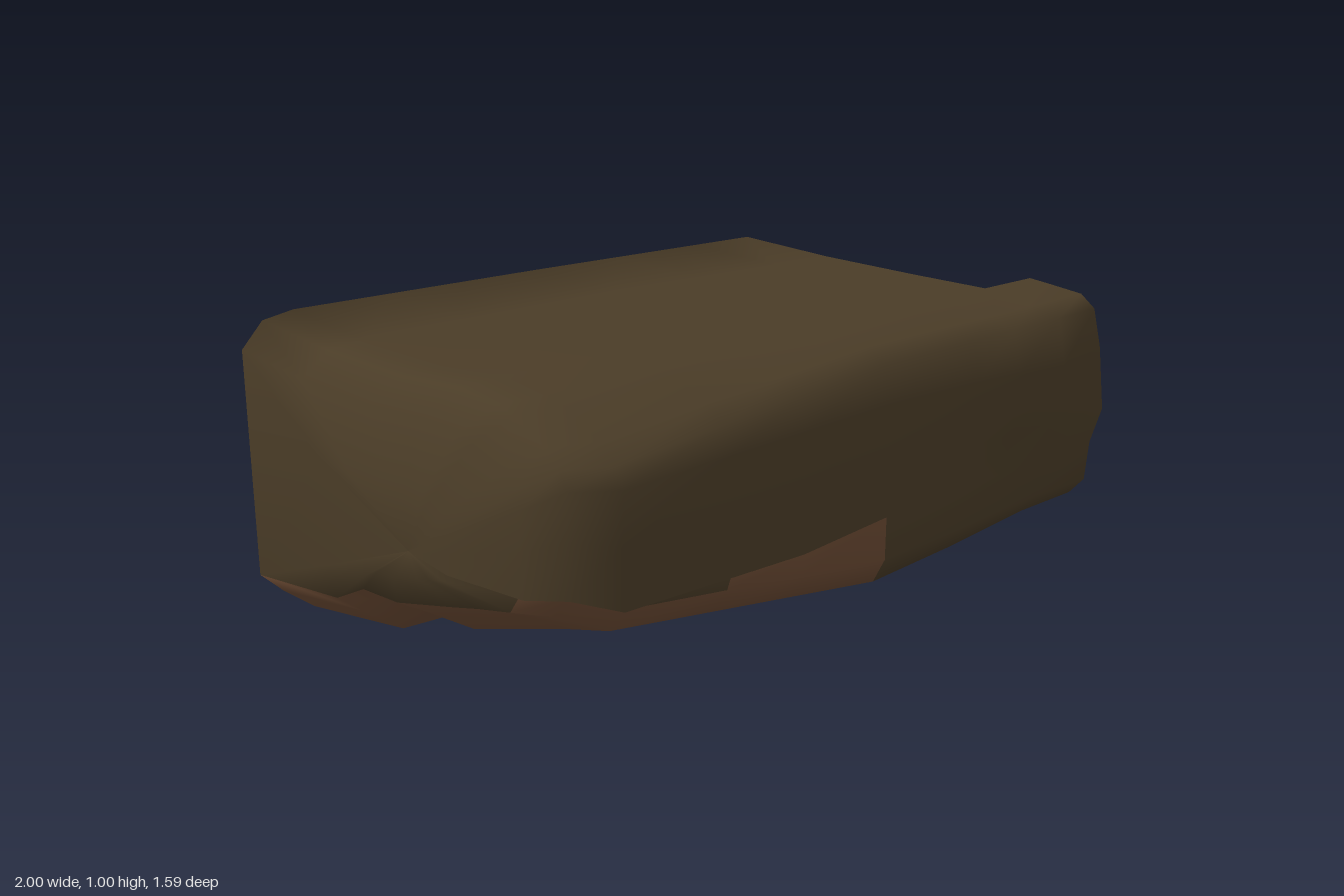
import * as THREE from 'three';

const olive = new THREE.MeshStandardMaterial({ color: 0x4a3c27 });
olive.name = 'olive';
const brown = new THREE.MeshStandardMaterial({ color: 0x6b4a33 });
brown.name = 'brown';

// Side profile [z, y]: up the back, over the top, down the front, back along the underside
const middle = [
  [-0.8, 0.01], [-0.8, 0.945], [-0.4, 0.94], [0, 0.955], [0.28, 0.985], [0.46, 0.99],
  [0.53, 0.99], [0.66, 0.975], [0.72, 0.94], [0.75, 0.84], [0.745, 0.66], [0.75, 0.53],
  [0.75, 0.41], [0.71, 0.335], [0.53, 0.315], [0.4, 0.31], [0.1, 0.16], [-0.1, 0.155], [-0.27, 0.095],
];
const flatEnd = [
  [-0.8, 0], [-0.8, 0.94], [-0.4, 0.932], [0, 0.935], [0.3, 0.94], [0.46, 1],
  [0.53, 0.995], [0.65, 0.985], [0.7, 0.95], [0.73, 0.84], [0.755, 0.66], [0.72, 0.55],
  [0.71, 0.43], [0.66, 0.375], [0.53, 0.32], [0.37, 0.325], [0.1, 0.25], [-0.07, 0.21], [-0.27, 0.09],
];
const TOP_SPLIT = 6, BROW = 8, NOSE = 9, PATCH = 11, LIP = 12, LOW_SPLIT = 14, UNDER = 15;
const lerp = THREE.MathUtils.lerp;

// Height change of each profile row towards the rounded end
const leftShift = [
  0, 0, -0.01, -0.015, -0.015, -0.025, -0.04, -0.08, -0.09, -0.04, 0, 0,
  0.09, 0.1, 0.07, 0.03, 0.08, 0.06, 0.02,
];

// Cross-section at x; bulge pushes the upper front out, lipRise lifts the front lip
function section(x, bulge = 0, lipRise = 0) {
  const t = Math.max(0, (x - 0.1) / 0.9);
  const left = THREE.MathUtils.clamp((0.1 - x) / 0.9, 0, 1);
  return middle.map(([z, y], j) => {
    let pz = lerp(z, flatEnd[j][0], t), py = lerp(y, flatEnd[j][1], t) + left * leftShift[j];
    if (j === BROW || j === NOSE) pz += bulge;
    if (j === BROW) py += bulge * 0.4;
    if (j === PATCH && x < 0.1) py = Math.max(0.5, 0.53 + (x - 0.1) * 0.12);
    if (j === LIP || j === LIP + 1) {
      py += lipRise;
      pz -= left * 0.02;
    }
    return [x, py, pz];
  });
}

// Rounded end: squeeze the section between new bottom, top and front limits
function squeezed(x, bottom, top, front) {
  return section(x).map(([, y, z]) => [
    x, bottom + y * (top - bottom) / 0.97, -0.8 + (z + 0.8) * (front + 0.8) / 1.55,
  ]);
}

function isBrown(j, x) {
  if (x < -0.95) return false;
  const stripe = x > 0.1 && x < 0.59;
  if (j === 0 || j >= UNDER) return !stripe;
  if (j === PATCH) return x > -0.45 && x < 0.1;
  return j >= LIP && x < 0.1;
}

function bodyGeometry() {
  const rim = squeezed(-0.95, 0.15, 0.87, 0.58);
  const shrink = (x, s) => rim.map(([, y, z]) => [x, lerp(0.52, y, s), lerp(0.13, z, s)]);
  const sections = [
    shrink(-0.985, 0), shrink(-1, 0.45), rim, squeezed(-0.88, 0.08, 0.95, 0.67),
    section(-0.78), section(-0.45), section(-0.2), section(0.1),
    section(0.42, 0.02, 0), section(0.59, 0.035, 0.005), section(0.76, 0.055, 0.01), section(1),
  ];
  const n = middle.length, faces = [[], []];
  for (let i = 0; i < sections.length - 1; i++) {
    const x = (sections[i][0][0] + sections[i + 1][0][0]) / 2;
    for (let j = 0; j < n; j++) {
      const k = (j + 1) % n;
      const a = i * n + j, b = a + n, c = i * n + k, d = c + n;
      faces[isBrown(j, x) ? 1 : 0].push(a, c, b, b, c, d);
    }
  }
  const geometry = new THREE.BufferGeometry();
  geometry.setAttribute('position', new THREE.Float32BufferAttribute(sections.flat(2), 3));
  geometry.setIndex(faces.flat());
  geometry.addGroup(0, faces[0].length, 0);
  geometry.addGroup(faces[0].length, faces[1].length, 1);
  geometry.computeVertexNormals();
  return geometry;
}

// Flat end panel at x = 1, outlined by profile points
function endPanel(points, material, name) {
  const shape = new THREE.Shape(points.map(([z, y]) => new THREE.Vector2(-z, y)));
  const mesh = new THREE.Mesh(new THREE.ShapeGeometry(shape), material);
  mesh.rotation.y = Math.PI / 2;
  mesh.position.x = 1;
  mesh.name = name;
  return mesh;
}

export function createModel() {
  const group = new THREE.Group();
  group.name = 'softBlock';

  const body = new THREE.Mesh(bodyGeometry(), [olive, brown]);
  body.name = 'body';
  group.add(body);

  group.add(endPanel(flatEnd.slice(TOP_SPLIT, LOW_SPLIT + 1), olive, 'frontEndPanel'));
  group.add(endPanel(
    [...flatEnd.slice(0, TOP_SPLIT + 1), ...flatEnd.slice(LOW_SPLIT)], brown, 'rearEndPanel'));
  return group;
}
